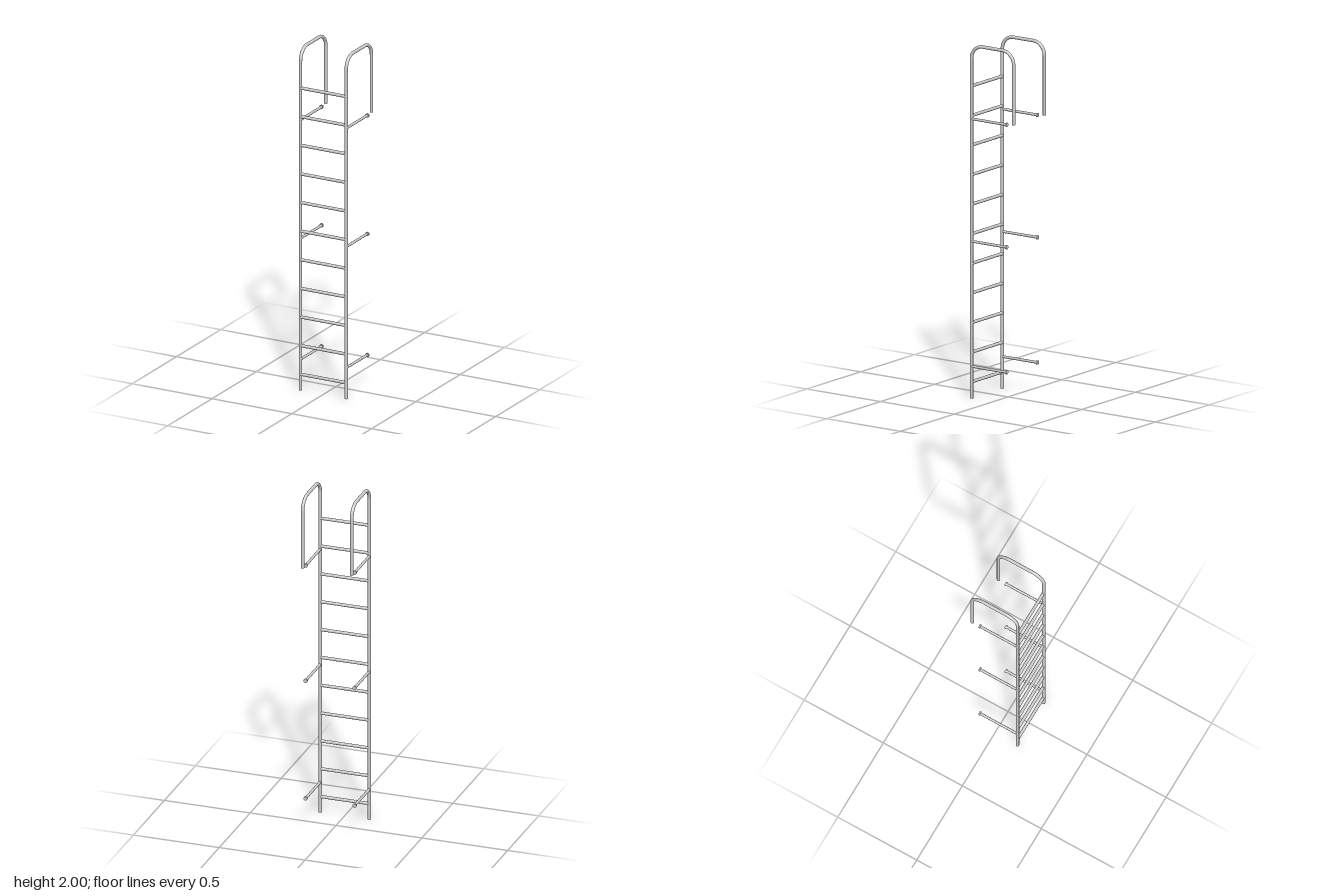
import * as THREE from 'three';

const RAIL_X = 0.143, RAIL_Z = 0.143, TOP = 1.99;
const RAIL_R = 0.0095, BEND = 0.075;
const material = new THREE.MeshStandardMaterial({ color: 0xcccccc });

function addMesh(parent, name, geometry) {
  const mesh = new THREE.Mesh(geometry, material);
  mesh.name = name;
  parent.add(mesh);
  return mesh;
}

// Round bar between two points
function addBar(parent, name, from, to, radius) {
  const a = new THREE.Vector3(...from), b = new THREE.Vector3(...to);
  const dir = b.clone().sub(a);
  const bar = addMesh(parent, name, new THREE.CylinderGeometry(radius, radius, dir.length(), 20));
  bar.position.copy(a).add(b).multiplyScalar(0.5);
  bar.quaternion.setFromUnitVectors(new THREE.Vector3(0, 1, 0), dir.normalize());
}

// Upright that arches over the top and comes down at the back
function createRail() {
  const rail = new THREE.Group();
  const bendY = TOP - BEND, bendZ = RAIL_Z - BEND;
  addBar(rail, 'upright', [0, 0, RAIL_Z], [0, bendY, RAIL_Z], RAIL_R);
  addBar(rail, 'topBar', [0, TOP, bendZ], [0, TOP, -bendZ], RAIL_R);
  addBar(rail, 'rearLeg', [0, bendY, -RAIL_Z], [0, 1.58, -RAIL_Z], RAIL_R);
  for (const side of [1, -1]) {
    const bend = addMesh(rail, side > 0 ? 'frontBend' : 'rearBend',
      new THREE.TorusGeometry(BEND, RAIL_R, 20, 16, Math.PI / 2));
    bend.rotation.y = -side * Math.PI / 2;
    bend.position.set(0, bendY, side * bendZ);
  }
  return rail;
}

// Wall standoff with a small end flange
function createStandoff() {
  const standoff = new THREE.Group();
  addBar(standoff, 'standoffRod', [0, 0, RAIL_Z], [0, 0, -0.094], 0.0075);
  addBar(standoff, 'standoffFlange', [0, 0, -0.091], [0, 0, -0.099], 0.0115);
  return standoff;
}

export function createModel() {
  const model = new THREE.Group();
  model.name = 'ladder';

  // Mirrored rails with their standoffs
  for (const side of [-1, 1]) {
    const label = side > 0 ? 'left' : 'right';
    const rail = createRail();
    rail.name = label + 'Rail';
    rail.position.x = side * RAIL_X;
    model.add(rail);
    for (const y of [0.18, 0.885, 1.575]) {
      const standoff = createStandoff();
      standoff.name = label + 'Standoff';
      standoff.position.set(side * RAIL_X, y, 0);
      model.add(standoff);
    }
  }

  // Evenly spaced rungs
  for (let i = 0; i < 11; i++) {
    const y = 0.093 + i * 0.1667;
    addBar(model, 'rung', [-RAIL_X, y, RAIL_Z], [RAIL_X, y, RAIL_Z], 0.009);
  }
  return model;
}
